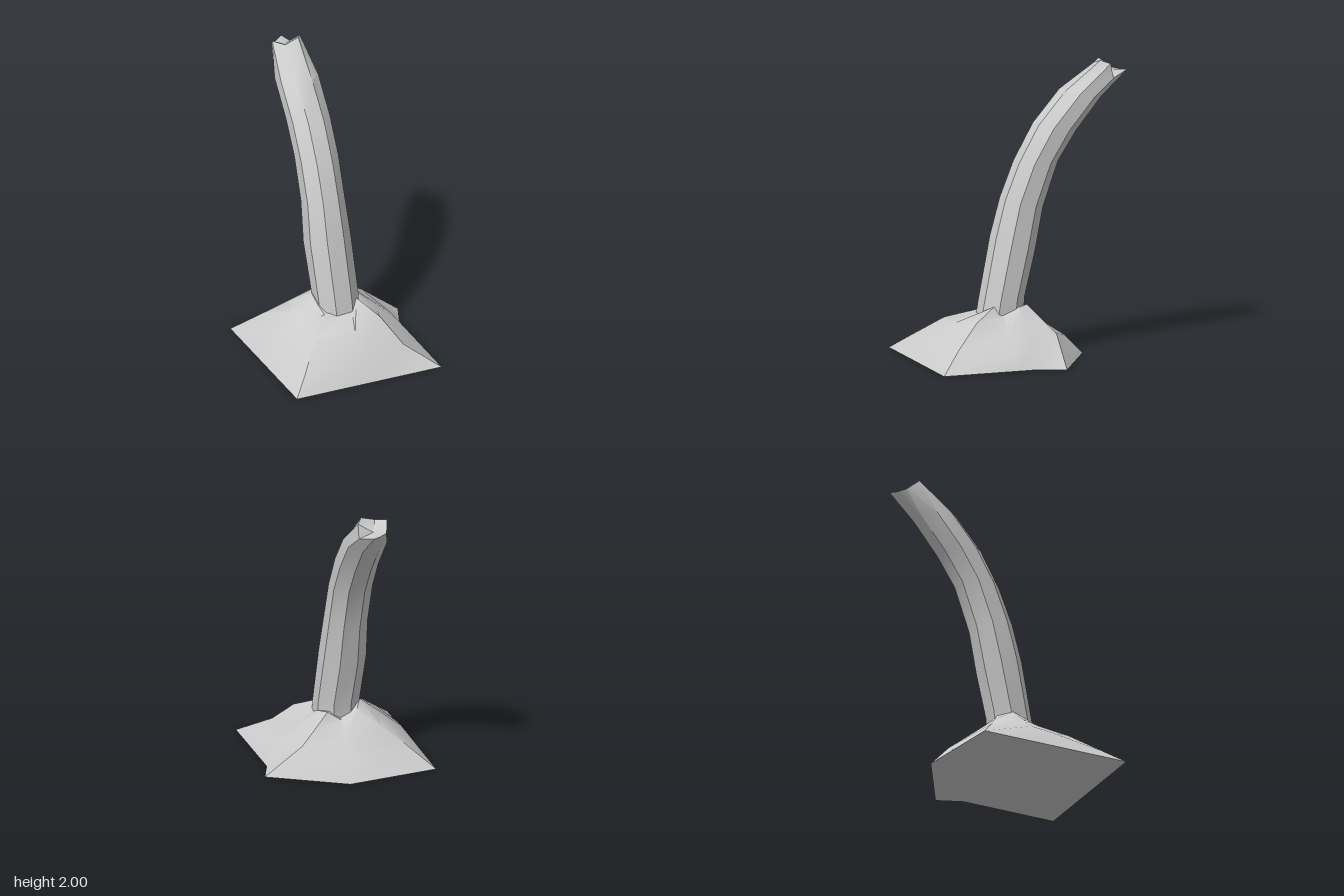
import * as THREE from 'three';
import { toCreasedNormals } from 'three/addons/utils/BufferGeometryUtils.js';

const material = new THREE.MeshStandardMaterial({ color: 0xcccccc });

// Skin a stack of rings (bottom to top); optional centre points close the ends.
function loft(name, rings, bottom, top, crease) {
  const pos = [];
  const tri = (...points) => points.forEach((p) => pos.push(...p));
  const n = rings[0].length;
  const last = rings[rings.length - 1];
  for (let i = 0; i < n; i++) {
    const j = (i + 1) % n;
    for (let r = 0; r < rings.length - 1; r++) {
      const a = rings[r], b = rings[r + 1];
      tri(a[i], a[j], b[j]);
      tri(a[i], b[j], b[i]);
    }
    if (bottom) tri(rings[0][j], rings[0][i], bottom);
    if (top) tri(last[i], last[j], top);
  }
  const geometry = new THREE.BufferGeometry();
  geometry.setAttribute('position', new THREE.Float32BufferAttribute(pos, 3));
  const mesh = new THREE.Mesh(toCreasedNormals(geometry, crease), material);
  mesh.name = name;
  return mesh;
}

// Eight-sided section spanning a front and a back point in the side plane.
function trunkRing([zf, yf, zb, yb, x0, x1]) {
  const grow = 1 / Math.cos(Math.PI / 8);
  return Array.from({ length: 8 }, (_, i) => {
    const a = (i + 0.5) * Math.PI / 4;
    const c = Math.cos(a) * grow / 2, s = Math.sin(a) * grow / 2;
    return [
      (x0 + x1) / 2 + (x1 - x0) * s,
      (yf + yb) / 2 + (yf - yb) * c,
      (zf + zb) / 2 + (zf - zb) * c,
    ];
  });
}

export function createModel() {
  const group = new THREE.Group();
  group.name = 'brokenTrunk';

  // Leaning trunk: front z, front y, back z, back y, left x, right x
  const rings = [
    [0.31, 0.28, 0.01, 0.29, -0.16, 0.13],
    [0.29, 0.39, 0.0, 0.42, -0.165, 0.13],
    [0.20, 0.82, -0.08, 0.72, -0.185, 0.115],
    [0.13, 1.08, -0.14, 1.02, -0.175, 0.10],
    [0.03, 1.33, -0.25, 1.33, -0.175, 0.10],
    [-0.11, 1.58, -0.38, 1.53, -0.175, 0.10],
    [-0.30, 1.80, -0.56, 1.75, -0.175, 0.10],
  ].map(trunkRing);

  // Splintered end with a hollow centre
  rings.push([
    [0.03, 2.0, -0.55], [0.07, 1.98, -0.61], [0.07, 1.88, -0.63], [0.0, 1.92, -0.755],
    [-0.05, 1.915, -0.72], [-0.11, 1.92, -0.68], [-0.14, 1.985, -0.60], [-0.07, 1.97, -0.54],
  ]);
  group.add(loft('trunk', rings, null, [-0.03, 1.92, -0.64], 0.65));

  // Earth mound: irregular footprint, shoulder and ragged rim around the trunk
  const foot = [
    [-0.575, 0, 0.75], [-0.08, 0, 0.75], [0.5, 0, 0.75], [0.5, 0, 0.21], [0.5, 0, 0.07],
    [0.57, 0, -0.11], [0.06, 0, -0.41], [-0.575, 0, -0.33], [-0.575, 0, 0.09], [-0.575, 0, 0.21],
  ];
  const shoulder = [
    [-0.46, 0.1, 0.63], [-0.08, 0.125, 0.665], [0.3, 0.13, 0.57], [0.42, 0.11, 0.21], [0.42, 0.11, 0.09],
    [0.31, 0.2, -0.13], [0.03, 0.13, -0.29], [-0.39, 0.16, -0.18], [-0.46, 0.17, 0.09], [-0.46, 0.16, 0.21],
  ];
  const rim = [
    [-0.15, 0.31, 0.27], [0.04, 0.31, 0.3], [0.1, 0.37, 0.24], [0.13, 0.31, 0.19], [0.13, 0.36, 0.07],
    [0.09, 0.37, 0.0], [0.0, 0.31, -0.02], [-0.12, 0.37, 0.0], [-0.17, 0.4, 0.1], [-0.17, 0.36, 0.21],
  ];
  // Slightly bulged slope, fuller towards the front
  const slope = shoulder.map((p, i) => p.map((v, k) =>
    (v + rim[i][k]) / 2 + (k === 1 && p[2] > 0.5 ? 0.035 : 0)));
  group.add(loft('mound', [foot, shoulder, slope, rim], [-0.03, 0, 0.2], [-0.02, 0.33, 0.14], 0.6));

  return group;
}
